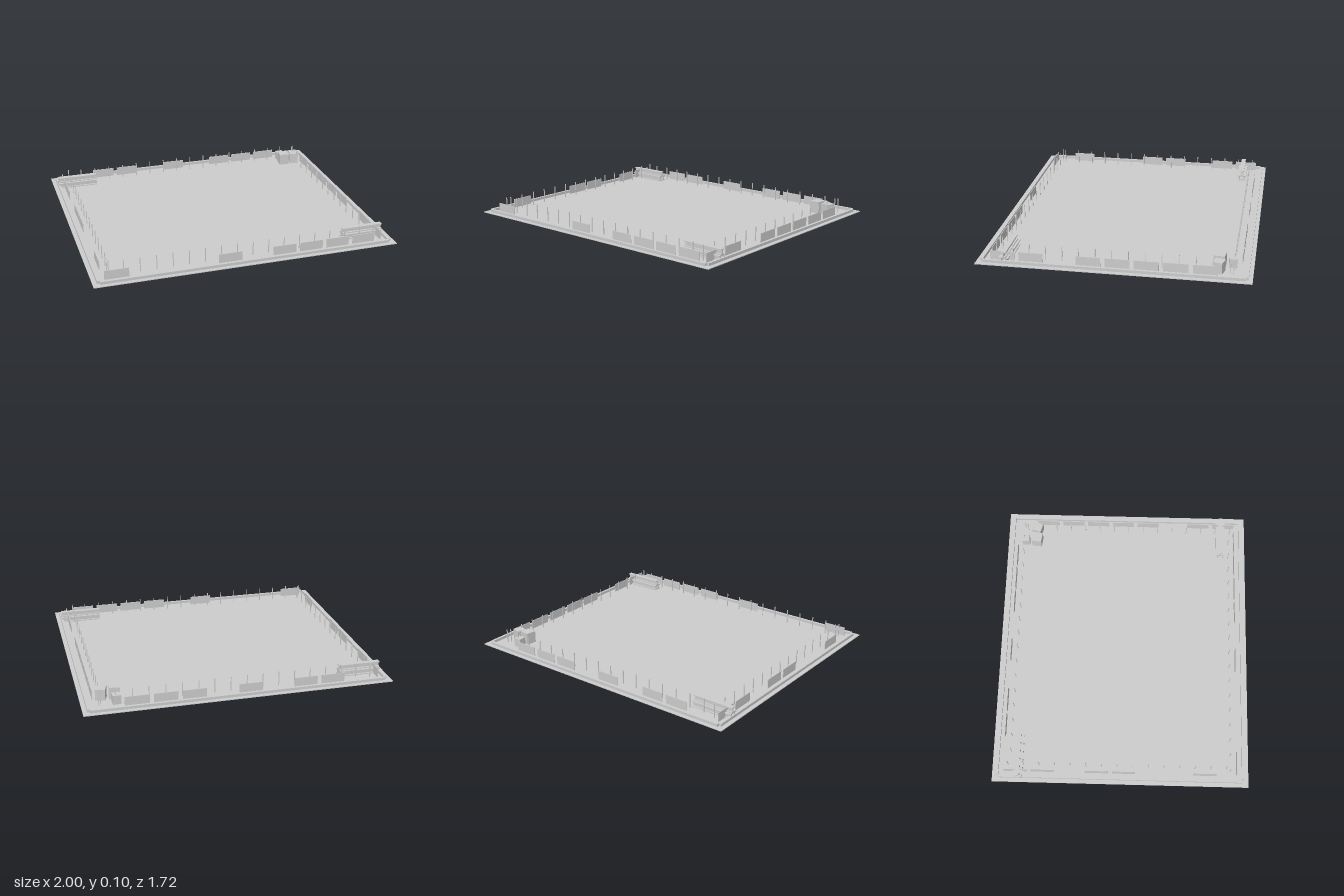
import * as THREE from 'three';

export function createModel() {
  const group = new THREE.Group();
  const grey = new THREE.MeshStandardMaterial({ color: 0xcccccc });
  grey.name = 'concrete grey';
  const floor = 0.005;

  // Box standing on y0
  function box(name, w, h, d, x, y0, z, turn = 0, parent = group) {
    const mesh = new THREE.Mesh(new THREE.BoxGeometry(w, h, d), grey);
    mesh.name = name;
    mesh.position.set(x, y0 + h / 2, z);
    mesh.rotation.y = turn;
    parent.add(mesh);
    return mesh;
  }

  // Ground slab and the low curb around it
  box('groundSlab', 2, floor, 1.72, 0, 0, 0);
  for (const s of [-1, 1]) {
    box('curbLong', 1.91, 0.018, 0.018, 0, floor, s * 0.826);
    box('curbShort', 0.018, 0.018, 1.636, s * 0.963, floor, 0);
  }

  // Fence panels, placed by centre in evenly spaced slots with gaps
  const step = 0.182, length = 0.155, height = 0.06, thin = 0.004;
  const panelRow = (start, slots, place) => slots.forEach(i => place(start + i * step));
  panelRow(-0.842, [0, 4, 6, 7, 8, 9], x => box('frontPanel', length, height, thin, x, floor, 0.78));
  panelRow(-0.615, [0, 1, 3, 5, 6, 7], x => box('backPanel', length, height, thin, x, floor, -0.785));
  panelRow(-0.706, [0, 1, 3, 4, 7], z => box('rightPanel', thin, height, length, -0.925, floor, z));
  panelRow(-0.572, [0, 1, 2, 3, 4, 6, 7], z => box('leftPanel', thin, height, length, 0.92, floor, z));

  // Thin posts just inside the panels
  const post = (x, z) => box('post', 0.005, 0.096, 0.005, x, floor, z);
  for (let i = 0; i < 18; i++) {
    const x = -0.895 + i * 0.105;
    if (i < 17) post(x, 0.737);
    if (i > 0) post(x, -0.74);
  }
  for (let i = 0; i < 15; i++) {
    post(-0.88, -0.757 + i * 0.105);
    post(0.876, -0.72 + i * 0.105);
  }

  // Stacks of three I-beams in opposite corners
  function beamStack(x, z) {
    const stack = new THREE.Group();
    stack.name = 'beamStack';
    stack.position.set(x, floor, z);
    for (const [y, dz] of [[0, -0.0165], [0, 0.0165], [0.036, 0]]) {
      box('beamLowerFlange', 0.28, 0.006, 0.031, 0, y, dz, 0, stack);
      box('beamWeb', 0.28, 0.024, 0.006, 0, y + 0.006, dz, 0, stack);
      box('beamUpperFlange', 0.28, 0.006, 0.031, 0, y + 0.03, dz, 0, stack);
    }
    group.add(stack);
  }
  beamStack(-0.828, -0.688);
  beamStack(0.825, 0.682);

  // Crates in the back corner
  box('largeCrate', 0.07, 0.08, 0.07, 0.78, floor, -0.648, -0.12);
  box('turnedCrate', 0.064, 0.073, 0.064, 0.864, floor, -0.648, -0.28);
  box('smallCrate', 0.052, 0.06, 0.052, 0.78, floor, -0.73, 0.08);

  return group;
}
